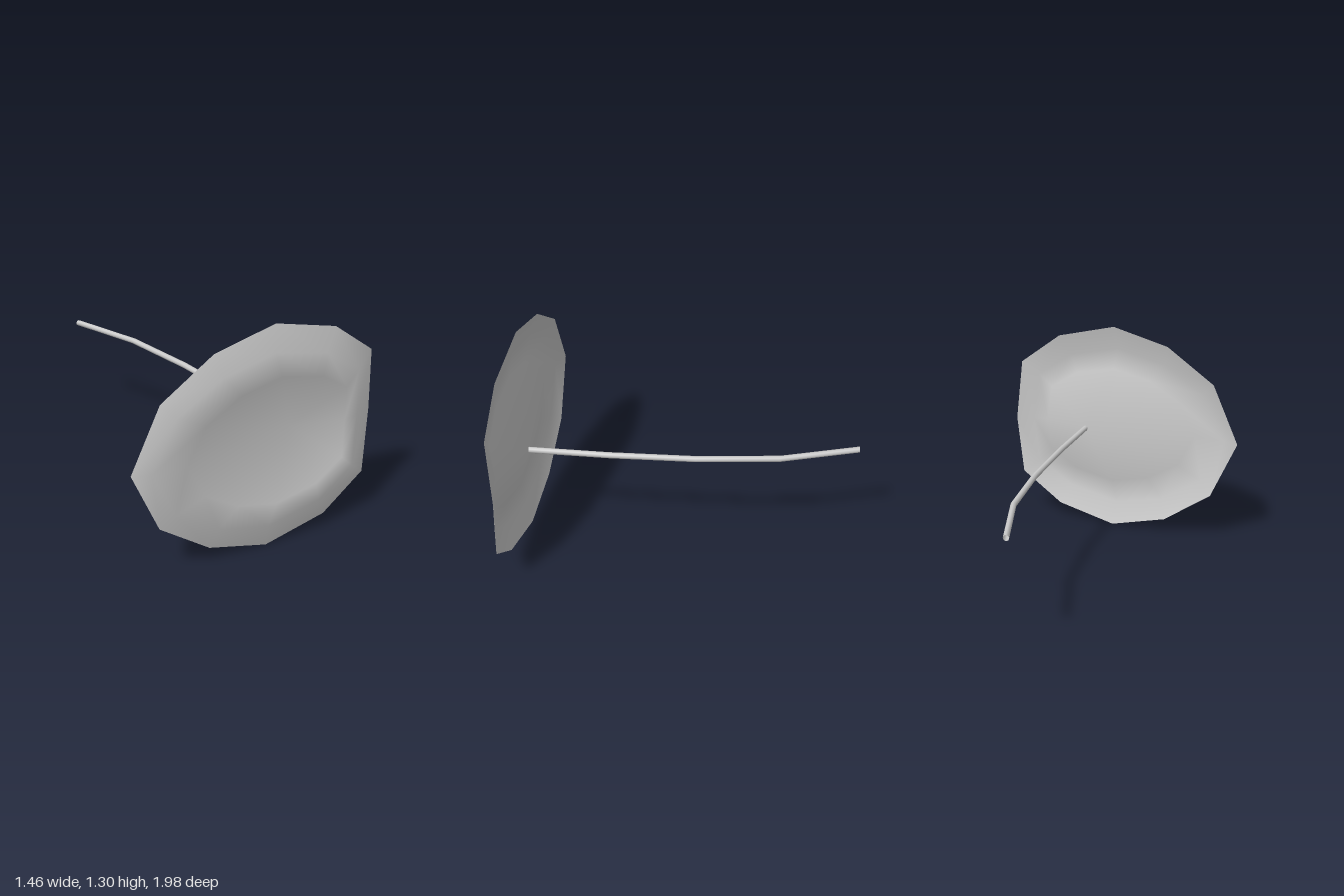
import * as THREE from 'three';

const MID = 0.65; // height of the stem and leaf axis

// Skin a list of closed loops (equal point counts) with smooth normals.
function loft(loops) {
  const n = loops[0].length, index = [];
  for (let r = 0; r < loops.length - 1; r++) {
    for (let i = 0; i < n; i++) {
      const a = r * n + i, b = r * n + (i + 1) % n;
      index.push(a, b, a + n, b, b + n, a + n);
    }
  }
  return { position: loops.flat(2), index };
}

function toMesh({ position, index }, name) {
  const geometry = new THREE.BufferGeometry();
  geometry.setAttribute('position', new THREE.Float32BufferAttribute(position, 3));
  geometry.setIndex(index);
  geometry.computeVertexNormals();
  const material = new THREE.MeshStandardMaterial({ color: 0xcccccc, side: THREE.DoubleSide });
  const mesh = new THREE.Mesh(geometry, material);
  mesh.name = name;
  return mesh;
}

// Leaf: twelve-cornered rim, raised inner rings and a sunken centre.
function makeLeaf() {
  // Upper half of the rim: x, height above the axis, offset from the tilted plane
  const half = [
    [0.73, 0, -0.04], [0.695, 0.37, -0.015], [0.44, 0.56, 0], [0.075, 0.65, 0],
    [-0.275, 0.56, 0], [-0.57, 0.355, 0], [-0.73, 0, 0],
  ];
  const lower = half.slice(1, -1).reverse().map(([x, y, d]) => [x, -y, d]);
  const rim = [...half, ...lower];

  const rings = [
    { sx: 1, cx: 0, sy: 1, lift: 0 },
    { sx: 0.863, cx: -0.07, sy: 0.78, lift: 0.038 },
    { sx: 0.671, cx: 0.12, sy: 0.57, lift: 0.05 },
  ];
  const loops = rings.map(({ sx, cx, sy, lift }) => rim.map(([x, y, d]) => {
    const px = x * sx + cx * (1 - sx);
    return [px, MID + y * sy, 0.852 + 0.178 * px + lift + d];
  }));

  // Close the leaf with a fan to the point where the stem joins
  const skin = loft(loops), n = rim.length;
  const centre = skin.position.length / 3, inner = centre - n;
  skin.position.push(0.25, MID, 0.82);
  for (let i = 0; i < n; i++) skin.index.push(inner + i, inner + (i + 1) % n, centre);
  return toMesh(skin, 'leaf');
}

// Stem: a thin round tube bending sideways towards the back.
function makeStem() {
  const path = [[0.245, 0.82], [0.28, 0.38], [0.3, -0.1], [0.282, -0.56], [0.182, -1]];
  const sides = 8, radius = 0.017;
  const loops = path.map(([x, z]) => Array.from({ length: sides }, (_, i) => {
    const a = (i / sides) * Math.PI * 2;
    return [x + radius * Math.cos(a), MID + radius * Math.sin(a), z];
  }));
  return toMesh(loft(loops), 'stem');
}

export function createModel() {
  const model = new THREE.Group();
  model.name = 'leafOnStem';
  model.add(makeLeaf(), makeStem());
  return model;
}
